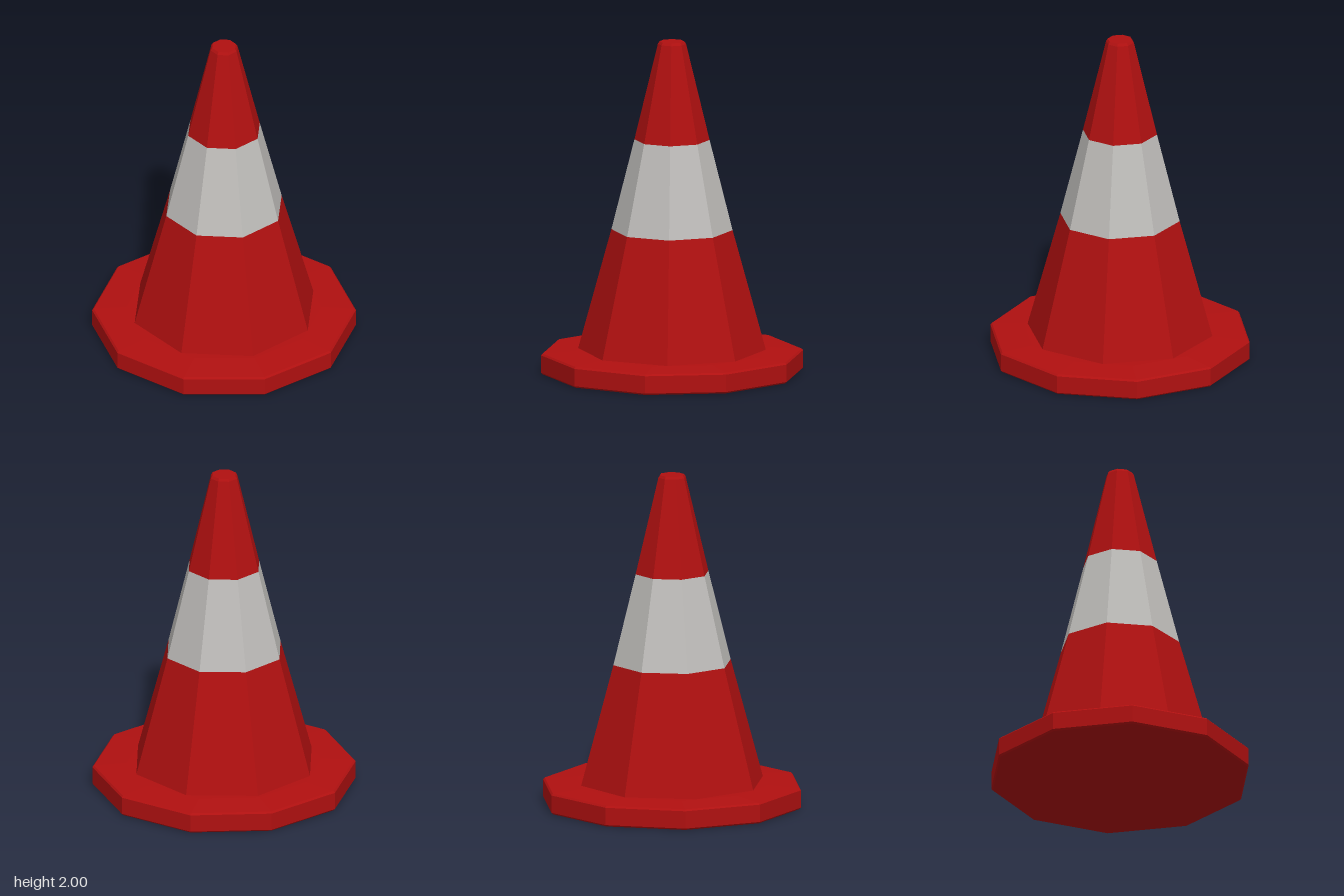
import * as THREE from 'three';

const red = new THREE.MeshStandardMaterial({ color: 0xb01010 });
red.name = 'cone red';
const white = new THREE.MeshStandardMaterial({ color: 0xbfbdba });
white.name = 'band white';

// Faceted solid of revolution from [radius, height] points, bottom to top
function faceted(name, profile, sides, material) {
  const points = profile.map(([r, y]) => new THREE.Vector2(r, y));
  const geometry = new THREE.LatheGeometry(points, sides).toNonIndexed();
  geometry.computeVertexNormals();
  const mesh = new THREE.Mesh(geometry, material);
  mesh.name = name;
  return mesh;
}

export function createModel() {
  const group = new THREE.Group();
  group.name = 'trafficCone';

  // Ten-sided foot with small bevels and a gently rising top
  group.add(faceted('base', [
    [0, 0], [0.775, 0], [0.785, 0.01], [0.785, 0.115], [0.775, 0.125], [0.58, 0.138], [0, 0.138],
  ], 10, red));

  // Eight-sided body, split where the colour changes
  group.add(faceted('lowerBody', [[0.56, 0.135], [0.405, 0.7], [0.361, 0.86]], 8, red));
  group.add(faceted('reflectiveBand', [[0.361, 0.86], [0.224, 1.405]], 8, white));
  group.add(faceted('upperBody', [[0.224, 1.405], [0.084, 1.985], [0.074, 2], [0, 2]], 8, red));

  return group;
}
